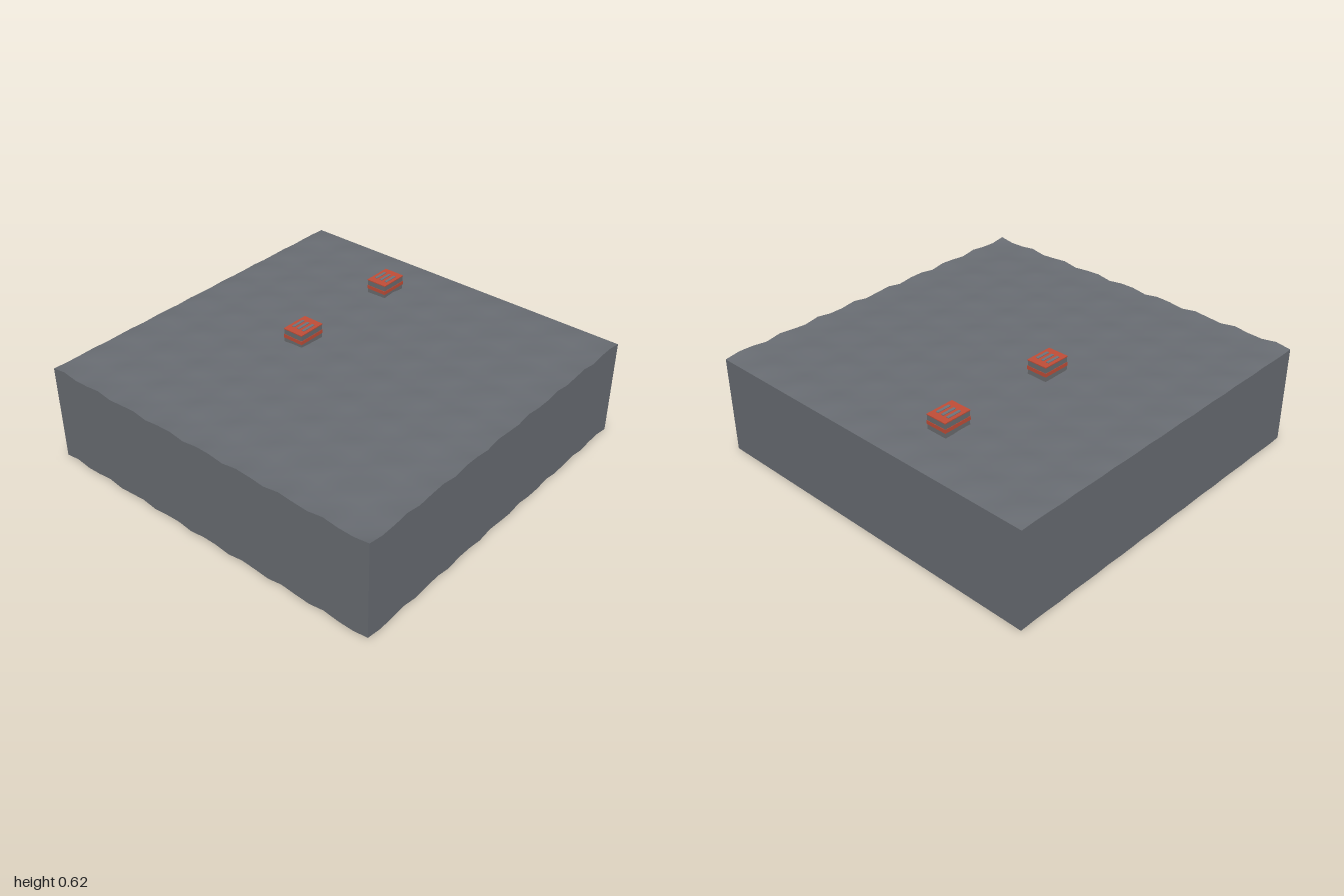
import * as THREE from 'three';

const DEPTH = 0.533; // height of the side walls
const SEGMENTS = 24;

// Gentle ripple of the ground, 0 to 0.016
function ripple(x, z) {
  const fx = (1 + Math.cos((2 * Math.PI * (x - 1)) / 0.24)) / 2;
  const fz = (1 + Math.cos((2 * Math.PI * (z - 1)) / 0.235)) / 2;
  return 0.016 * fx * fz;
}

function mat(name, color, side = THREE.FrontSide) {
  return new THREE.MeshStandardMaterial({ name, color, side });
}

function addBox(parent, name, material, size, pos) {
  const mesh = new THREE.Mesh(new THREE.BoxGeometry(...size), material);
  mesh.name = name;
  mesh.position.set(...pos);
  parent.add(mesh);
  return mesh;
}

// Rippled ground sheet
function groundGeometry() {
  const geo = new THREE.PlaneGeometry(2, 2, SEGMENTS, SEGMENTS).rotateX(-Math.PI / 2);
  const p = geo.attributes.position;
  for (let i = 0; i < p.count; i++) p.setY(i, DEPTH + ripple(p.getX(i), p.getZ(i)));
  geo.computeVertexNormals();
  return geo;
}

// One side wall whose top and bottom rims both follow the ripple
function wallGeometry(angle) {
  const geo = new THREE.PlaneGeometry(2, DEPTH, SEGMENTS, 1);
  geo.translate(0, DEPTH / 2, 1).rotateY(angle);
  const p = geo.attributes.position;
  for (let i = 0; i < p.count; i++) p.setY(i, p.getY(i) + ripple(p.getX(i), p.getZ(i)));
  geo.computeVertexNormals();
  return geo;
}

export function createModel() {
  const model = new THREE.Group();
  model.name = 'groundTileWithCrates';

  const stone = mat('stone grey', 0x6a6e74, THREE.DoubleSide);
  const grey = mat('crate grey', 0x6c6d70);
  const red = mat('crate red', 0xc24e38);
  const slatGrey = mat('slat grey', 0x70767e);

  // Ground and open-bottomed skirt
  const ground = new THREE.Mesh(groundGeometry(), stone);
  ground.name = 'ground';
  model.add(ground);
  ['front', 'left', 'back', 'right'].forEach((side, i) => {
    const wall = new THREE.Mesh(wallGeometry((i * Math.PI) / 2), stone);
    wall.name = side + 'Wall';
    model.add(wall);
  });

  // Two small crates with a red band, red lid and three raised slats
  for (const z of [0, -0.67]) {
    const crate = new THREE.Group();
    crate.name = 'crate';
    crate.position.set(-0.25, 0, z);
    addBox(crate, 'crateBody', grey, [0.116, 0.078, 0.156], [0, 0.571, 0]);
    addBox(crate, 'crateBand', red, [0.12, 0.02, 0.16], [0, 0.57, 0]);
    addBox(crate, 'crateLid', red, [0.12, 0.005, 0.16], [0, 0.6115, 0]);
    for (const x of [-0.033, 0, 0.033]) {
      addBox(crate, 'lidSlat', slatGrey, [0.015, 0.004, 0.08], [x, 0.615, 0]);
    }
    model.add(crate);
  }
  return model;
}
